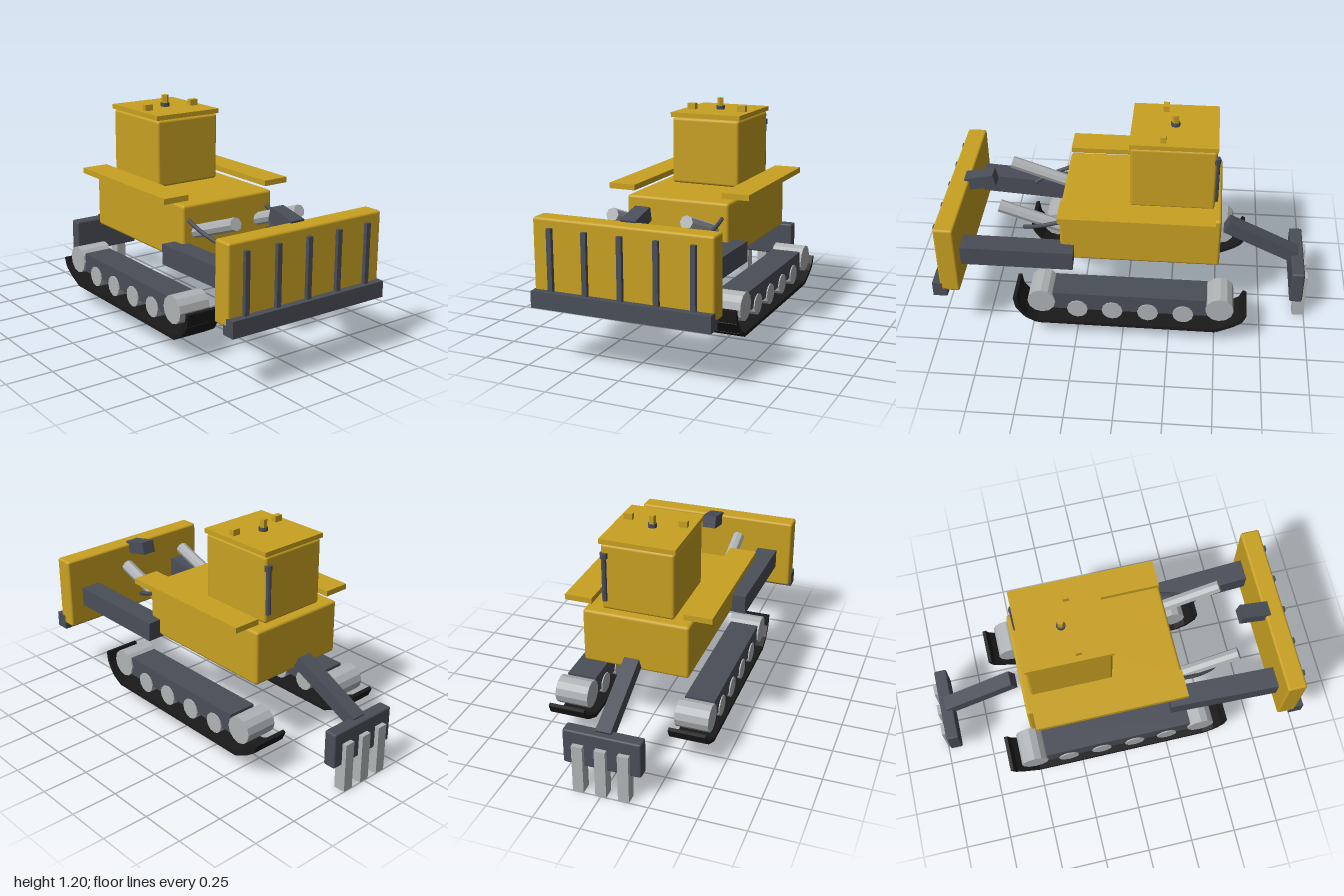
import * as THREE from 'three';
import { RoundedBoxGeometry } from 'three/addons/geometries/RoundedBoxGeometry.js';

const material = (name, color) => Object.assign(new THREE.MeshStandardMaterial({ color }), { name });

export function createModel() {
  const yellow = material('yellow paint', 0xc9a122);
  const steel = material('dark steel', 0x4a4e58);
  const metal = material('bare metal', 0xb0b4b6);
  const rubber = material('black track', 0x1a1a1a);

  const model = new THREE.Group();
  model.name = 'bulldozer';

  const add = (name, geometry, mat, x = 0, y = 0, z = 0) => {
    const mesh = new THREE.Mesh(geometry, mat);
    mesh.name = name;
    mesh.position.set(x, y, z);
    model.add(mesh);
    return mesh;
  };
  // Boxes given by their low and high corners
  const box = (name, mat, [x0, y0, z0], [x1, y1, z1], radius = 0) => {
    const size = [x1 - x0, y1 - y0, z1 - z0];
    const geometry = radius ? new RoundedBoxGeometry(...size, 2, radius) : new THREE.BoxGeometry(...size);
    return add(name, geometry, mat, (x0 + x1) / 2, (y0 + y1) / 2, (z0 + z1) / 2);
  };
  // Box whose length runs between two points
  const beam = (name, mat, from, to, width, height) => {
    const a = new THREE.Vector3(...from), b = new THREE.Vector3(...to);
    const mesh = add(name, new THREE.BoxGeometry(width, height, a.distanceTo(b)), mat);
    mesh.position.copy(a).add(b).multiplyScalar(0.5);
    mesh.lookAt(b);
    return mesh;
  };
  // Faceted cylinder
  const drum = (radius, length, sides) => {
    const geometry = new THREE.CylinderGeometry(radius, radius, length, sides).toNonIndexed();
    geometry.computeVertexNormals();
    return geometry;
  };
  const wheel = (name, radius, width, sides, x, y, z) => {
    add(name, drum(radius, width, sides).rotateZ(Math.PI / 2), metal, x, y, z);
  };

  // Hull, cab and roof
  box('body', yellow, [-0.285, 0.445, -0.505], [0.285, 0.742, 0.338], 0.015);
  box('cab', yellow, [-0.193, 0.745, -0.465], [0.193, 1.105, -0.025], 0.015);
  box('roof', yellow, [-0.2, 1.108, -0.47], [0.2, 1.133, -0.02]);
  add('beaconBase', drum(0.024, 0.02, 8), steel, 0, 1.143, -0.245);
  add('beacon', drum(0.019, 0.045, 5), yellow, 0, 1.174, -0.245);
  add('exhaustPipe', drum(0.014, 0.25, 8), steel, 0.175, 0.92, -0.467);
  add('exhaustCap', drum(0.021, 0.03, 8), steel, 0.175, 1.045, -0.463);

  // Blade with ribs, cutting edge and tilt block
  box('blade', yellow, [-0.472, 0.337, 0.855], [0.472, 0.743, 0.96], 0.013);
  box('cuttingEdge', steel, [-0.472, 0.3, 0.925], [0.472, 0.385, 1]);
  for (let i = -2; i <= 2; i++) {
    const x = i * 0.187;
    box('bladeRib', steel, [x - 0.013, 0.37, 0.95], [x + 0.013, 0.697, 0.98]);
  }
  beam('bladeTiltBlock', steel, [0, 0.752, 0.718], [0, 0.718, 0.875], 0.08, 0.072);

  // Rear ripper
  beam('ripperArm', steel, [0, 0.51, -0.543], [0, 0.32, -0.93], 0.08, 0.072);
  box('ripperBeam', steel, [-0.205, 0.145, -0.975], [0.205, 0.34, -0.905], 0.01);
  for (const x of [-0.12, 0, 0.12]) {
    box('ripperTooth', metal, [x - 0.029, 0, -1], [x + 0.029, 0.27, -0.935]);
  }

  // Centre line of the track shoes as z, y
  const shoes = [[0.575, 0.27], [0.565, 0.205], [0.523, 0.145], [0.46, 0.11],
    [-0.503, 0.107], [-0.59, 0.15], [-0.635, 0.182], [-0.656, 0.23]];

  for (const s of [-1, 1]) {
    // Parts mirrored on both sides
    const sideBox = (name, mat, x, width, y0, y1, z0, z1) =>
      box(name, mat, [s * x - width / 2, y0, z0], [s * x + width / 2, y1, z1]);
    sideBox('fender', yellow, 0.32, 0.148, 0.765, 0.795, -0.473, 0.332);
    sideBox('roofLight', yellow, 0.147, 0.046, 1.133, 1.166, -0.206, -0.176);
    sideBox('trackFrame', steel, 0.33, 0.16, 0.198, 0.304, -0.45, 0.372);

    // Wheels and track
    wheel('idler', 0.075, 0.18, 12, s * 0.33, 0.25, 0.433);
    wheel('sprocket', 0.075, 0.18, 12, s * 0.33, 0.25, -0.52);
    for (const z of [0.24, 0.053, -0.138, -0.327]) wheel('roller', 0.056, 0.172, 12, s * 0.33, 0.203, z);
    for (let i = 0; i < shoes.length - 1; i++) {
      const [z0, y0] = shoes[i], [z1, y1] = shoes[i + 1];
      beam('trackShoe', rubber, [s * 0.329, y0, z0], [s * 0.329, y1, z1], 0.198, 0.02);
    }

    // Push arm, lift cylinder and hose
    beam('pushArm', steel, [s * 0.304, 0.485, 0.265], [s * 0.33, 0.51, 0.88], 0.115, 0.108);
    const lift = add('liftCylinder', drum(0.034, 0.45, 8), metal, s * 0.2, 0.638, 0.45);
    lift.rotation.x = Math.PI / 2 - 0.345;
    const hose = new THREE.QuadraticBezierCurve3(
      new THREE.Vector3(s * 0.25, 0.665, 0.33),
      new THREE.Vector3(s * 0.252, 0.62, 0.45),
      new THREE.Vector3(s * 0.2, 0.58, 0.54));
    add('hose', new THREE.TubeGeometry(hose, 8, 0.011, 6), steel);
  }
  return model;
}
